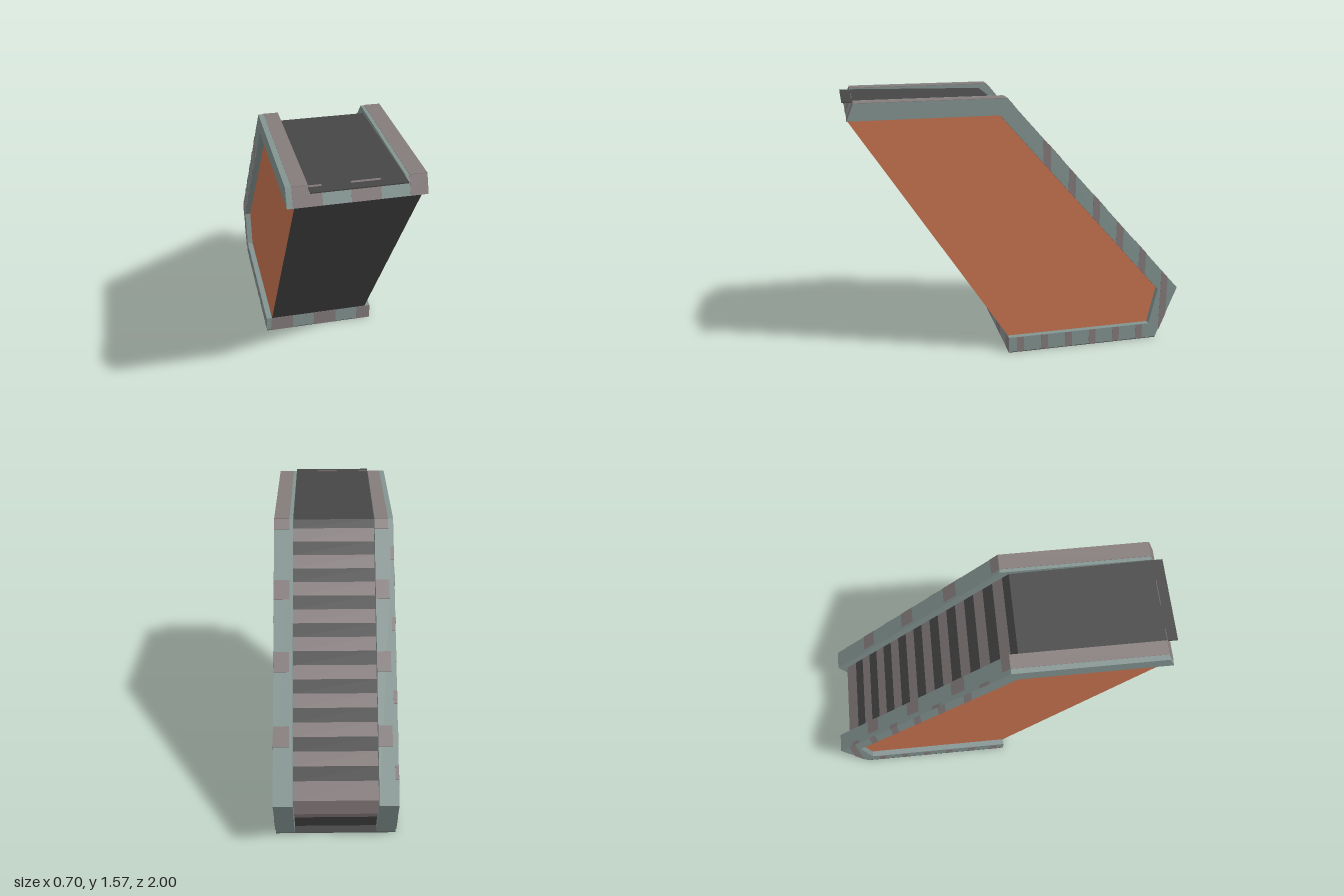
import * as THREE from 'three';

const mat = (name, color) => {
  const m = new THREE.MeshStandardMaterial({ color });
  m.name = name;
  return m;
};

export function createModel() {
  const green = mat('greyGreen', 0x839491);
  const brown = mat('dustyBrown', 0x857b7b);
  const dark = mat('charcoal', 0x464646);
  const orange = mat('orange', 0xc8734f);
  const root = new THREE.Group();
  root.name = 'escalator';

  // side profile of [z, y] points, extruded across x from x0 to x1
  function slab(name, pts, x0, x1, material) {
    const shape = new THREE.Shape(pts.map(([z, y]) => new THREE.Vector2(-z, y)));
    const geo = new THREE.ExtrudeGeometry(shape, { depth: x1 - x0, bevelEnabled: false });
    geo.rotateY(Math.PI / 2).translate(x0, 0, 0);
    const mesh = new THREE.Mesh(geo, material);
    mesh.name = name;
    root.add(mesh);
  }
  // same slab on both sides
  function pair(name, pts, x0, x1, material) {
    slab(name + 'Left', pts, x0, x1, material);
    slab(name + 'Right', pts, -x1, -x0, material);
  }

  const outerY = z => 0.33 + (z + 1) * 1.127;
  const innerY = z => 0.33 + (z + 0.87) * 1.134;
  const backY = z => 0.33 - (z + 1) * 2.54;
  const treadY = z => 1.545 + (z - 0.15) * 1.127;
  const T = 0.002; // thickness of painted plates

  // body with orange sides and a dark sloping front
  slab('body', [[0.09, 0.1], [-0.82, 0.1], [-0.87, 0.33], [0.14, 1.475], [0.98, 1.475]],
    -0.315, 0.315, [orange, dark]);

  // side frames, base and top bar
  pair('sideFrame', [[0.94, 1.57], [0.98, 1.475], [0.14, 1.475], [-0.87, 0.33], [-0.82, 0.1],
    [0.09, 0.1], [0.09, 0.004], [-0.868, 0.004], [-1, 0.33], [0.1, 1.57]], 0.24, 0.35, green);
  slab('base', [[0.09, 0.004], [0.09, 0.1], [-0.8, 0.1], [-0.78, 0.004]], -0.24, 0.24, green);
  slab('underside', [[0.09, 0], [0.09, 0.004], [-0.868, 0.004], [-0.87, 0]], -0.35, 0.35, dark);
  slab('topBar', [[0.15, 1.475], [0.15, 1.538], [0.945, 1.557], [0.98, 1.475]], -0.24, 0.24, green);
  slab('landingPlate', [[0.15, 1.538], [0.15, 1.545], [1, 1.564], [1, 1.558]], -0.24, 0.24, dark);

  // moving steps: alternating bands up the slope
  const edges = [-0.94];
  for (let i = 0; i < 19; i++) edges.push(-0.868 + i * 0.0545);
  edges.push(0.15);
  for (let i = 0; i < edges.length - 1; i++) {
    const a = edges[i], b = edges[i + 1];
    if (b - a < 0.001) continue;
    slab('step', [[a, treadY(a)], [b, treadY(b)], [b, treadY(b) - 0.1], [a, treadY(a) - 0.1]],
      -0.24, 0.24, i % 2 ? dark : brown);
  }

  // banded lower back panel
  const levels = [0.316, 0.22, 0.115, 0.004];
  const panelZ = y => -0.94 + (0.316 - y) * 0.4;
  for (let i = 0; i < 3; i++) {
    const a = levels[i], b = levels[i + 1];
    slab('backBand', [[panelZ(a), a], [panelZ(b), b], [panelZ(b) + 0.1, b], [panelZ(a) + 0.1, a]],
      -0.24, 0.24, i === 1 ? brown : dark);
  }

  // painted stripes on the outer faces of the frames
  for (let k = 0; k < 7; k++) {
    const c = 0.02 - k * 0.155, a = c - 0.022, b = c + 0.022;
    if (k > 0) {
      const low = k === 6 ? backY : innerY;
      pair('slopeStripe', [[a, low(a)], [b, low(b)], [b, outerY(b)], [a, outerY(a)]],
        0.35, 0.35 + T, brown);
    }
    if (k < 6) {
      pair('baseStripe', [[a, 0.004], [b, 0.004], [b, 0.1], [a, 0.1]], 0.35, 0.35 + T, brown);
    }
  }

  // painted stripes across the front edges
  for (const [x0, x1] of [[-0.32, -0.175], [-0.033, 0.115], [0.26, 0.35]]) {
    slab('baseFrontStripe', [[0.09, 0], [0.09 + T, 0], [0.09 + T, 0.1], [0.09, 0.1]], x0, x1, brown);
    slab('topFrontStripe', [[0.94, 1.57], [0.942, 1.571], [0.982, 1.476], [0.98, 1.475]], x0, x1, brown);
  }

  // painted top faces of the upper rails
  for (const [x0, x1] of [[-0.32, -0.24], [0.26, 0.35]]) {
    slab('railTop', [[0.1, 1.57], [0.94, 1.57], [0.94, 1.57 + T], [0.1, 1.57 + T]], x0, x1, brown);
  }

  // patches on the sloping rail tops
  const patch = (c, h, x0, x1) => {
    const a = c - h, b = Math.min(c + h, 0.098);
    slab('railPatch', [[a, outerY(a)], [b, outerY(b)], [b, outerY(b) + 0.003], [a, outerY(a) + 0.003]],
      x0, x1, brown);
  };
  for (let i = 0; i < 4; i++) {
    const c = -0.746 + i * 0.28;
    patch(c, 0.038, -0.32, -0.24);
    patch(c, 0.038, 0.26, 0.35);
    patch(c - 0.135, 0.025, -0.35, -0.33);
  }
  return root;
}
